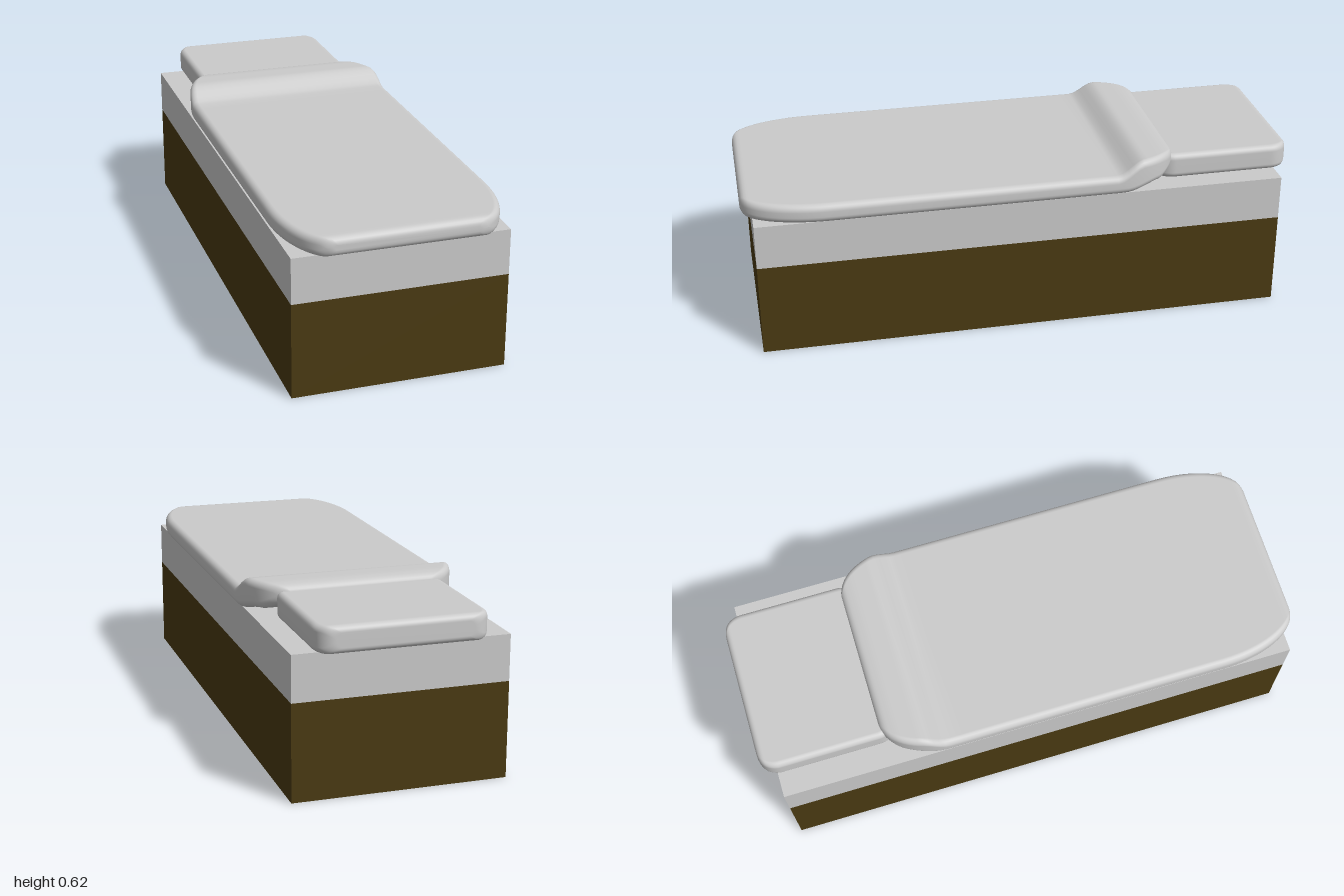
import * as THREE from 'three';

const mat = (color) => new THREE.MeshStandardMaterial({ color });

function block(name, y0, y1, material) {
  const mesh = new THREE.Mesh(new THREE.BoxGeometry(0.755, y1 - y0, 1.91), material);
  mesh.name = name;
  mesh.position.set(-0.0075, (y0 + y1) / 2, 0.006);
  return mesh;
}

// Smooth interpolation through [z, y] points sorted by rising z
function profile(points) {
  return (z) => {
    if (z <= points[0][0]) return points[0][1];
    for (let i = 1; i < points.length; i++) {
      const [z0, y0] = points[i - 1], [z1, y1] = points[i];
      if (z <= z1) return y0 + (y1 - y0) * THREE.MathUtils.smoothstep(z, z0, z1);
    }
    return points[points.length - 1][1];
  };
}

// Soft slab lofted along z: rounded-rectangle sections, elliptical plan corners.
// ends = [back, front], each with the flat half-width and the corner length.
function softSlab({ name, z0, z1, width, ends, radius, top, bottom }, material) {
  const stations = [];
  const [back, front] = ends;
  const steps = 18;
  for (let i = 0; i <= steps; i++) stations.push(z0 + back.length * (1 - Math.cos((i / steps) * Math.PI / 2)));
  const inner0 = z0 + back.length, inner1 = z1 - front.length;
  for (let i = 1; i < 20; i++) stations.push(inner0 + (inner1 - inner0) * (i / 20));
  for (let i = steps; i >= 0; i--) stations.push(z1 - front.length * (1 - Math.cos((i / steps) * Math.PI / 2)));

  const quarter = (d, l) => Math.sqrt(1 - (1 - Math.min(1, Math.max(0, d) / l)) ** 2);
  const arc = 6, ring = 4 * (arc + 1);
  const pos = [], idx = [];
  for (const z of stations) {
    const d0 = z - z0, d1 = z1 - z;
    const w = Math.min(
      back.flat + (width - back.flat) * quarter(d0, back.length),
      front.flat + (width - front.flat) * quarter(d1, front.length));
    const inset = radius * (1 - quarter(Math.min(d0, d1), radius));
    const yMid = (top(z) + bottom(z)) / 2;
    const h = (top(z) - bottom(z)) / 2 - inset;
    const r = Math.min(radius, h);
    for (let c = 0; c < 4; c++) {
      const sx = c === 0 || c === 3 ? 1 : -1, sy = c < 2 ? 1 : -1;
      for (let k = 0; k <= arc; k++) {
        const a = (c + k / arc) * Math.PI / 2;
        pos.push(sx * (w - r) + r * Math.cos(a), yMid + sy * (h - r) + r * Math.sin(a), z);
      }
    }
  }
  for (let s = 0; s < stations.length - 1; s++) {
    for (let k = 0; k < ring; k++) {
      const a = s * ring + k, b = s * ring + (k + 1) % ring;
      idx.push(a, b, b + ring, a, b + ring, a + ring);
    }
  }
  // End caps
  const last = (stations.length - 1) * ring;
  for (let k = 1; k < ring - 1; k++) {
    idx.push(0, k + 1, k, last, last + k, last + k + 1);
  }
  const geo = new THREE.BufferGeometry();
  geo.setAttribute('position', new THREE.Float32BufferAttribute(pos, 3));
  geo.setIndex(idx);
  // Sections run counter-clockwise seen from +z, so sides face outward
  geo.computeVertexNormals();
  const mesh = new THREE.Mesh(geo, material);
  mesh.name = name;
  return mesh;
}

export function createModel() {
  const group = new THREE.Group();
  group.name = 'bed';
  const grey = mat(0xcccccc);

  group.add(block('bedBase', 0, 0.342, mat(0x4a3a12)));
  group.add(block('mattress', 0.342, 0.505, grey));

  // Pillow tucked under the folded end of the blanket
  group.add(softSlab({
    name: 'pillow', z0: -1, z1: -0.5, width: 0.3, radius: 0.022,
    ends: [{ flat: 0.235, length: 0.07 }, { flat: 0.235, length: 0.07 }],
    top: () => 0.6, bottom: () => 0.506,
  }, grey));

  // Blanket, lifting over the pillow at the head end
  group.add(softSlab({
    name: 'blanket', z0: -0.56, z1: 1, width: 0.39, radius: 0.025,
    ends: [{ flat: 0.25, length: 0.23 }, { flat: 0.25, length: 0.3 }],
    top: profile([[-0.56, 0.618], [-0.5, 0.624], [-0.43, 0.624], [-0.33, 0.575]]),
    bottom: profile([[-0.56, 0.56], [-0.49, 0.53], [-0.36, 0.506]]),
  }, grey));

  return group;
}
